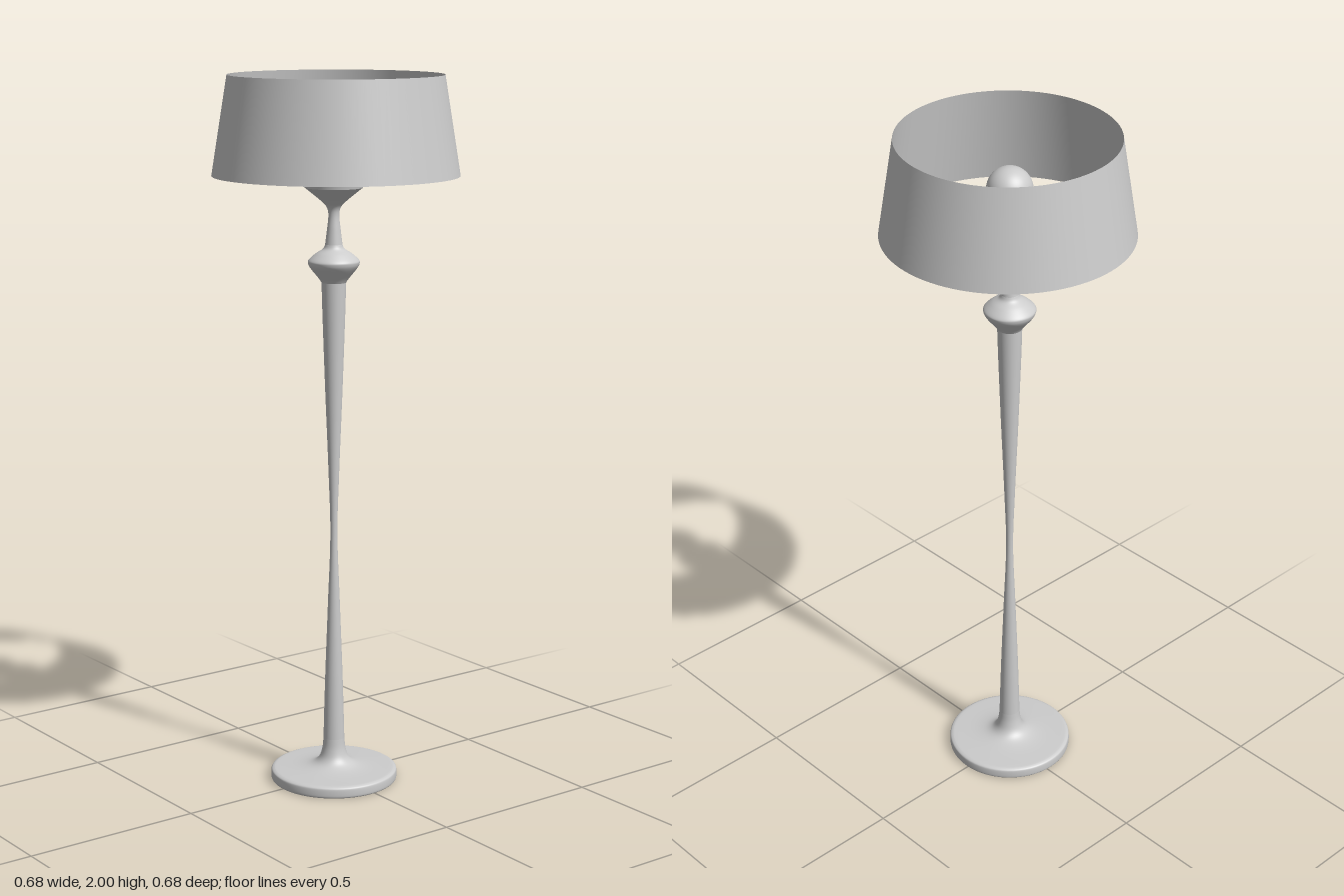
import * as THREE from 'three';

const material = new THREE.MeshStandardMaterial({ color: 0xcccccc });
const shadeMaterial = new THREE.MeshStandardMaterial({ color: 0xcccccc, side: THREE.DoubleSide });

const points = (list) => list.map(([r, y]) => new THREE.Vector2(r, y));

// Smooth run of [radius, height] points
const smooth = (list, n) => new THREE.SplineCurve(points(list)).getPoints(n);

function add(parent, name, geometry, mat = material) {
  const mesh = new THREE.Mesh(geometry, mat);
  mesh.name = name;
  parent.add(mesh);
  return mesh;
}

const turned = (profile) => new THREE.LatheGeometry(profile, 64);

export function createModel() {
  const lamp = new THREE.Group();
  lamp.name = 'floorLamp';

  // The stand sits slightly off the shade's axis
  const stand = new THREE.Group();
  stand.name = 'stand';
  stand.position.set(-0.012, 0, 0.006);
  lamp.add(stand);

  // Flat underside and rounded rim of the foot
  add(stand, 'footUnderside', turned(points([[0, 0], [0.176, 0]])));
  add(stand, 'foot', turned([
    ...smooth([[0.176, 0], [0.18, 0.005], [0.18, 0.024], [0.177, 0.03], [0.17, 0.033]], 16),
    ...smooth([[0.165, 0.0335], [0.1, 0.037], [0.062, 0.045], [0.042, 0.062], [0.033, 0.09], [0.03, 0.12]], 24),
  ]));

  // Slender column, waisted below the middle
  add(stand, 'column', turned(smooth([
    [0.03, 0.12], [0.025, 0.3], [0.017, 0.52], [0.01, 0.72], [0.015, 0.9],
    [0.024, 1.13], [0.031, 1.33], [0.034, 1.435],
  ], 40)));

  // Turned knob
  add(stand, 'knob', turned(smooth([
    [0.034, 1.435], [0.042, 1.447], [0.064, 1.474], [0.071, 1.488], [0.069, 1.498],
    [0.05, 1.515], [0.03, 1.528], [0.024, 1.54],
  ], 36)));

  // Neck flaring into the cup
  add(stand, 'neckAndCup', turned(smooth([
    [0.024, 1.54], [0.019, 1.58], [0.015, 1.62], [0.02, 1.643], [0.038, 1.662],
    [0.06, 1.68], [0.08, 1.696],
  ], 36)));
  add(stand, 'cupRim', turned(points([[0.08, 1.696], [0.082, 1.705]])));
  add(stand, 'cupTop', turned(points([[0.082, 1.705], [0.067, 1.705], [0.063, 1.7], [0, 1.7]])));

  // Lamp holder and round bulb
  const holder = add(stand, 'holder', new THREE.CylinderGeometry(0.031, 0.031, 0.11, 40));
  holder.position.y = 1.752;
  const bulb = add(stand, 'bulb', new THREE.SphereGeometry(0.062, 48, 32));
  bulb.position.y = 1.847;

  // Open tapered shade
  const shade = add(lamp, 'shade', new THREE.CylinderGeometry(0.296, 0.34, 0.272, 96, 1, true), shadeMaterial);
  shade.position.y = 1.864;

  return lamp;
}
